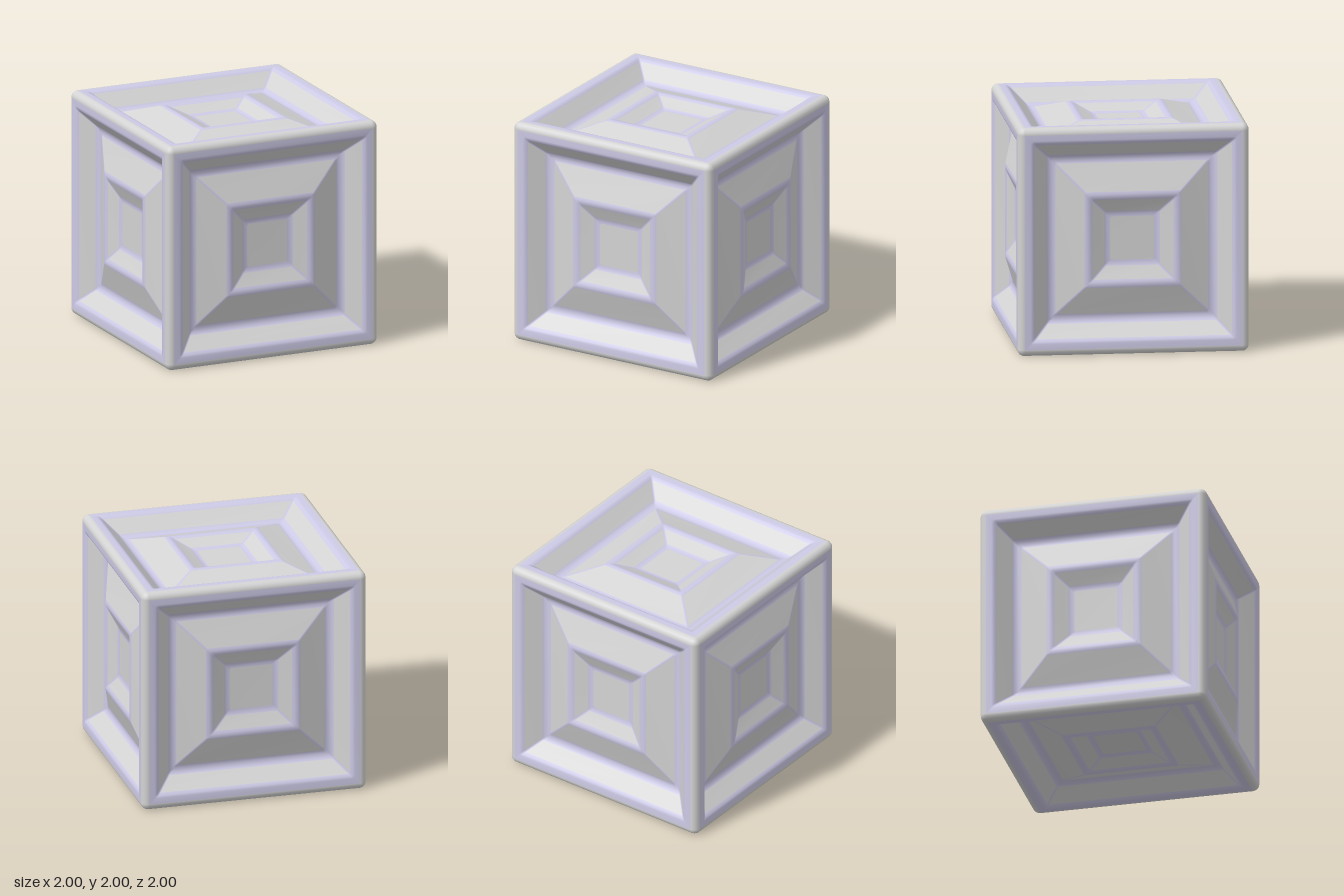
import * as THREE from 'three';

const grey = new THREE.MeshStandardMaterial({ name: 'light grey', color: 0xd4d4d4 });
const lavender = new THREE.MeshStandardMaterial({ name: 'pale lavender', color: 0xcdcae6 });

const R = 0.06;      // radius of the cube's rounded edges
const H = 1 - R;     // half size of each flat face
const SEG = 4;

// Stepped panel profile: half size, depth, bevel (1) or slope (0) leading to this ring
const profile = [
  [H, 0, 1], [0.89, 0, 1], [0.87, 0.006, 1], [0.85, 0.022, 1],
  [0.74, 0.13, 0],
  [0.72, 0.145, 1], [0.69, 0.153, 1], [0.66, 0.147, 1],
  [0.42, 0.06, 0],
  [0.395, 0.053, 1], [0.37, 0.056, 1], [0.35, 0.066, 1],
  [0.24, 0.118, 0],
  [0.215, 0.126, 1], [0.19, 0.128, 1],
];

// Square rings with narrow cut corners, joined into one smooth surface
function panelGeometry() {
  const pos = [];
  profile.forEach(([a, d], i) => {
    const b = a - (i === 0 ? 0 : 0.014);
    for (const [x, y] of [[-b, -a], [b, -a], [a, -b], [a, b], [b, a], [-b, a], [-a, b], [-a, -b]]) {
      pos.push(x, y, 1 - d);
    }
  });
  const slopes = [], bevels = [];
  for (let i = 1; i < profile.length; i++) {
    for (let k = 0; k < 8; k++) {
      const o = (i - 1) * 8, n = i * 8, k2 = (k + 1) % 8;
      const list = profile[i][2] || k % 2 ? bevels : slopes;
      list.push(o + k, o + k2, n + k2, o + k, n + k2, n + k);
    }
  }
  // flat centre
  const c = (profile.length - 1) * 8;
  for (let k = 1; k < 7; k++) slopes.push(c, c + k, c + k + 1);

  const g = new THREE.BufferGeometry();
  g.setAttribute('position', new THREE.Float32BufferAttribute(pos, 3));
  g.setIndex([...slopes, ...bevels]);
  g.addGroup(0, slopes.length, 0);
  g.addGroup(slopes.length, bevels.length, 1);
  g.computeVertexNormals();
  return g;
}

export function createModel() {
  const model = new THREE.Group();
  model.name = 'panelledCube';
  const cube = new THREE.Group();
  cube.name = 'cube';
  cube.position.y = 1;
  model.add(cube);

  // Six recessed panels
  const panel = panelGeometry();
  const q = Math.PI / 2;
  const faces = {
    frontPanel: [0, 0], leftPanel: [0, q], backPanel: [0, 2 * q],
    rightPanel: [0, -q], topPanel: [-q, 0], bottomPanel: [q, 0],
  };
  for (const [name, [rx, ry]] of Object.entries(faces)) {
    const mesh = new THREE.Mesh(panel, [grey, lavender]);
    mesh.name = name;
    mesh.rotation.set(rx, ry, 0);
    cube.add(mesh);
  }

  // Twelve rounded edges, four along each axis
  const edge = new THREE.CylinderGeometry(R, R, 2 * H, SEG, 1, true, 0, q).translate(H, 0, H);
  for (const [rx, rz] of [[0, 0], [q, 0], [0, q]]) {
    const edges = new THREE.Group();
    edges.name = 'roundedEdges';
    edges.rotation.set(rx, 0, rz);
    for (let k = 0; k < 4; k++) {
      const mesh = new THREE.Mesh(edge, grey);
      mesh.name = 'roundedEdge';
      mesh.rotation.y = k * q;
      edges.add(mesh);
    }
    cube.add(edges);
  }

  // Eight rounded corners, four above and four below
  const corner = new THREE.SphereGeometry(R, SEG, SEG, q, q, 0, q).translate(H, H, H);
  for (const rz of [0, Math.PI]) {
    const corners = new THREE.Group();
    corners.name = rz ? 'bottomCorners' : 'topCorners';
    corners.rotation.z = rz;
    for (let k = 0; k < 4; k++) {
      const mesh = new THREE.Mesh(corner, grey);
      mesh.name = 'roundedCorner';
      mesh.rotation.y = k * q;
      corners.add(mesh);
    }
    cube.add(corners);
  }
  return model;
}
